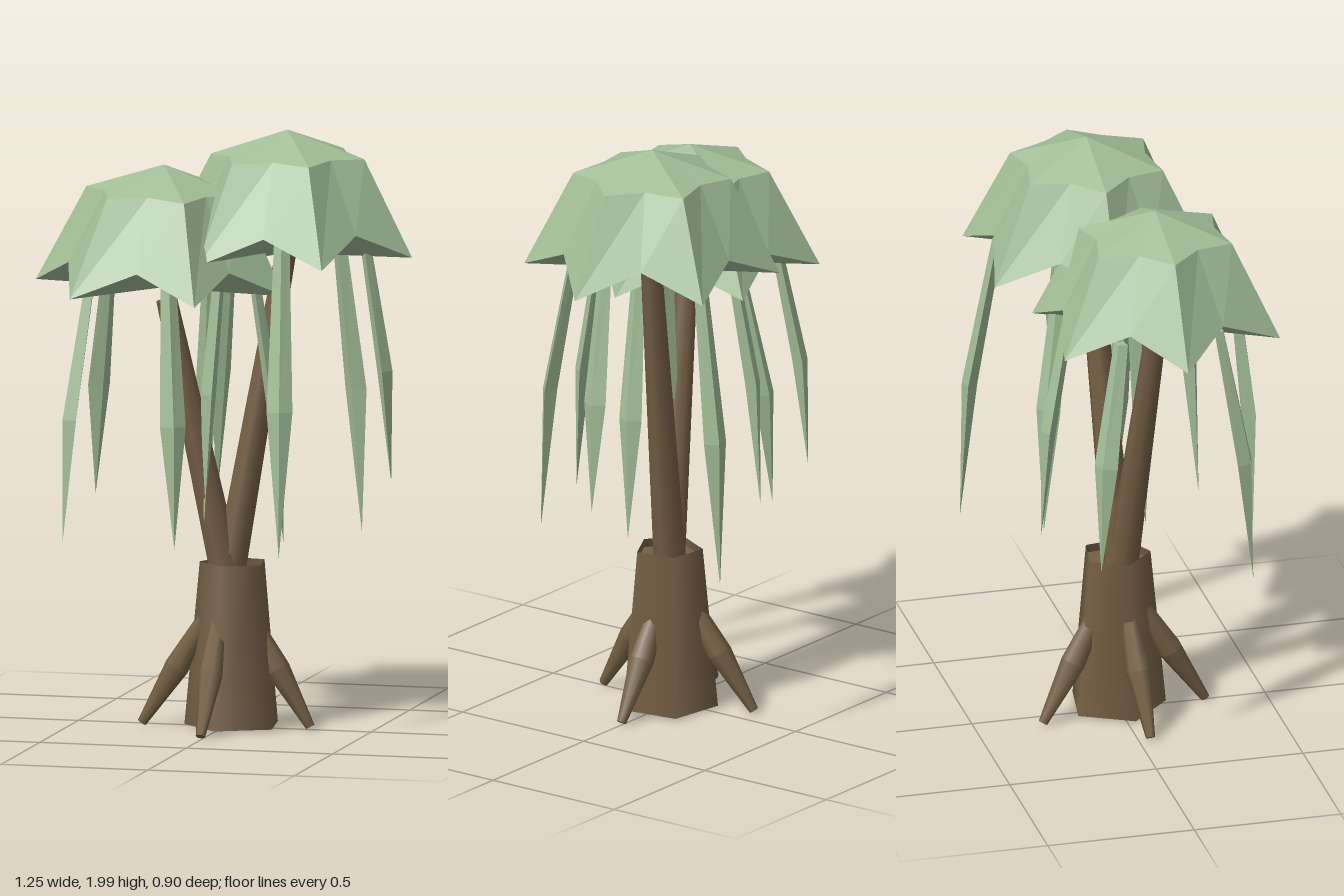
import * as THREE from 'three';

const V = (x, y, z) => new THREE.Vector3(x, y, z);

const bark = new THREE.MeshStandardMaterial({ color: 0x755f45, side: THREE.DoubleSide });
bark.name = 'bark brown';
const leaf = new THREE.MeshStandardMaterial({ color: 0xa3bf98, flatShading: true });
leaf.name = 'leaf green';

function part(parent, name, geometry, material) {
  const mesh = new THREE.Mesh(geometry, material);
  mesh.name = name;
  parent.add(mesh);
  return mesh;
}

// Tapered limb running between two points
function limb(parent, name, from, to, rFrom, rTo, sides) {
  const dir = to.clone().sub(from);
  const mesh = part(parent, name, new THREE.CylinderGeometry(rTo, rFrom, dir.length(), sides), bark);
  mesh.position.copy(from).addScaledVector(dir, 0.5);
  mesh.quaternion.setFromUnitVectors(V(0, 1, 0), dir.normalize());
  return mesh;
}

// Flat-shaded geometry from a list of triangles
function faceted(tris) {
  const g = new THREE.BufferGeometry().setFromPoints(tris.flat());
  g.computeVertexNormals();
  return g;
}

// Six-pointed umbrella crown: apex, shoulder ring, drooping rim, underside
function crownGeometry() {
  const ring = (rTip, yTip, rNotch, yNotch) => Array.from({ length: 12 }, (_, i) => {
    const a = i * Math.PI / 6, r = i % 2 ? rNotch : rTip;
    return V(r * Math.cos(a), i % 2 ? yNotch : yTip, r * Math.sin(a));
  });
  const shoulder = ring(0.262, 0.322, 0.2, 0.33);
  const rim = ring(0.425, 0, 0.317, 0.09);
  const apex = V(0, 0.412, 0), base = V(0, 0, 0);
  const tris = [];
  for (let i = 0; i < 12; i++) {
    const j = (i + 1) % 12;
    tris.push([apex, shoulder[j], shoulder[i]],
      [shoulder[i], shoulder[j], rim[j]], [shoulder[i], rim[j], rim[i]],
      [base, rim[i], rim[j]]);
  }
  return faceted(tris);
}

// Hanging frond: diamond section, widest halfway down, pointed at the bottom
function frondGeometry(top, tip, centre) {
  const out = V(tip.x - centre.x, 0, tip.z - centre.z).normalize();
  const side = V(-out.z, 0, out.x);
  const mid = V(THREE.MathUtils.lerp(top.x, tip.x, 0.75), THREE.MathUtils.lerp(top.y, tip.y, 0.53),
    THREE.MathUtils.lerp(top.z, tip.z, 0.75));
  const section = (c, w, d) => [
    c.clone().addScaledVector(out, d), c.clone().addScaledVector(side, w),
    c.clone().addScaledVector(out, -d), c.clone().addScaledVector(side, -w)];
  const a = section(top, 0.026, 0.018), b = section(mid, 0.043, 0.026);
  const tris = [[a[0], a[2], a[1]], [a[0], a[3], a[2]]];
  for (let i = 0; i < 4; i++) {
    const j = (i + 1) % 4;
    tris.push([a[i], a[j], b[j]], [a[i], b[j], b[i]], [b[i], b[j], tip]);
  }
  return faceted(tris);
}

export function createModel() {
  const model = new THREE.Group();
  model.name = 'tree';

  // Five-sided stump with a slightly sunken top
  const stump = new THREE.Group();
  stump.name = 'stump';
  stump.position.set(0.033, 0, 0);
  model.add(stump);
  const turn = Math.PI * 0.75;
  part(stump, 'stumpWall', new THREE.CylinderGeometry(0.115, 0.166, 0.544, 5, 1, true, turn), bark).position.y = 0.288;
  part(stump, 'stumpBase', new THREE.CylinderGeometry(0.165, 0.166, 0.004, 5, 1, false, turn), bark).position.y = 0.018;
  part(stump, 'stumpTop', new THREE.CylinderGeometry(0.115, 0.116, 0.004, 5, 1, false, turn), bark).position.y = 0.53;

  // Roots
  const roots = [
    [V(0.09, 0.37, 0), V(0.292, 0.018, 0.0)],
    [V(-0.06, 0.37, 0.02), V(-0.272, 0.018, 0.04)],
    [V(0.0, 0.37, 0.08), V(-0.005, 0.018, 0.295)],
    [V(0.0, 0.37, -0.07), V(-0.07, 0.018, -0.275)],
  ];
  for (const [top, toe] of roots) {
    const bend = top.clone().lerp(toe, 0.45);
    bend.y -= 0.005;
    limb(model, 'rootUpper', top, bend, 0.028, 0.042, 7);
    limb(model, 'rootLower', bend, toe, 0.042, 0.016, 7);
  }

  // Two leaning stems
  limb(model, 'leftStem', V(0.012, 0.5, 0.01), V(0.195, 1.6, -0.05), 0.055, 0.036, 7);
  limb(model, 'rightStem', V(0.012, 0.5, 0.015), V(-0.178, 1.44, 0.082), 0.055, 0.036, 7);

  // Crowns, each with five fronds hanging from beneath: [top, tip]
  const crowns = [
    { name: 'leftCrown', at: V(0.2, 1.59, -0.057), tilt: 0, fronds: [
      [V(0.25, 1.66, 0.21), V(0.275, 0.63, 0.345)],
      [V(0.3, 1.64, -0.33), V(0.35, 0.605, -0.45)],
      [V(0.465, 1.63, -0.06), V(0.55, 0.835, -0.07)],
      [V(-0.03, 1.64, -0.2), V(-0.1, 0.73, -0.28)],
      [V(0.0, 1.62, 0.04), V(-0.05, 0.69, 0.08)],
    ] },
    { name: 'rightCrown', at: V(-0.2, 1.478, 0.077), tilt: -0.03, fronds: [
      [V(-0.395, 1.53, 0.24), V(-0.465, 0.65, 0.34)],
      [V(-0.42, 1.53, -0.1), V(-0.49, 0.74, -0.185)],
      [V(-0.095, 1.53, 0.37), V(-0.055, 0.66, 0.445)],
      [V(-0.1, 1.53, -0.19), V(-0.14, 0.73, -0.3)],
      [V(0.12, 1.5, 0.06), V(0.21, 0.63, 0.035)],
    ] },
  ];
  for (const c of crowns) {
    const crown = part(model, c.name, crownGeometry(), leaf);
    crown.position.copy(c.at);
    crown.rotation.z = c.tilt;
    for (const [top, tip] of c.fronds) part(model, c.name + 'Frond', frondGeometry(top, tip, c.at), leaf);
  }
  return model;
}
